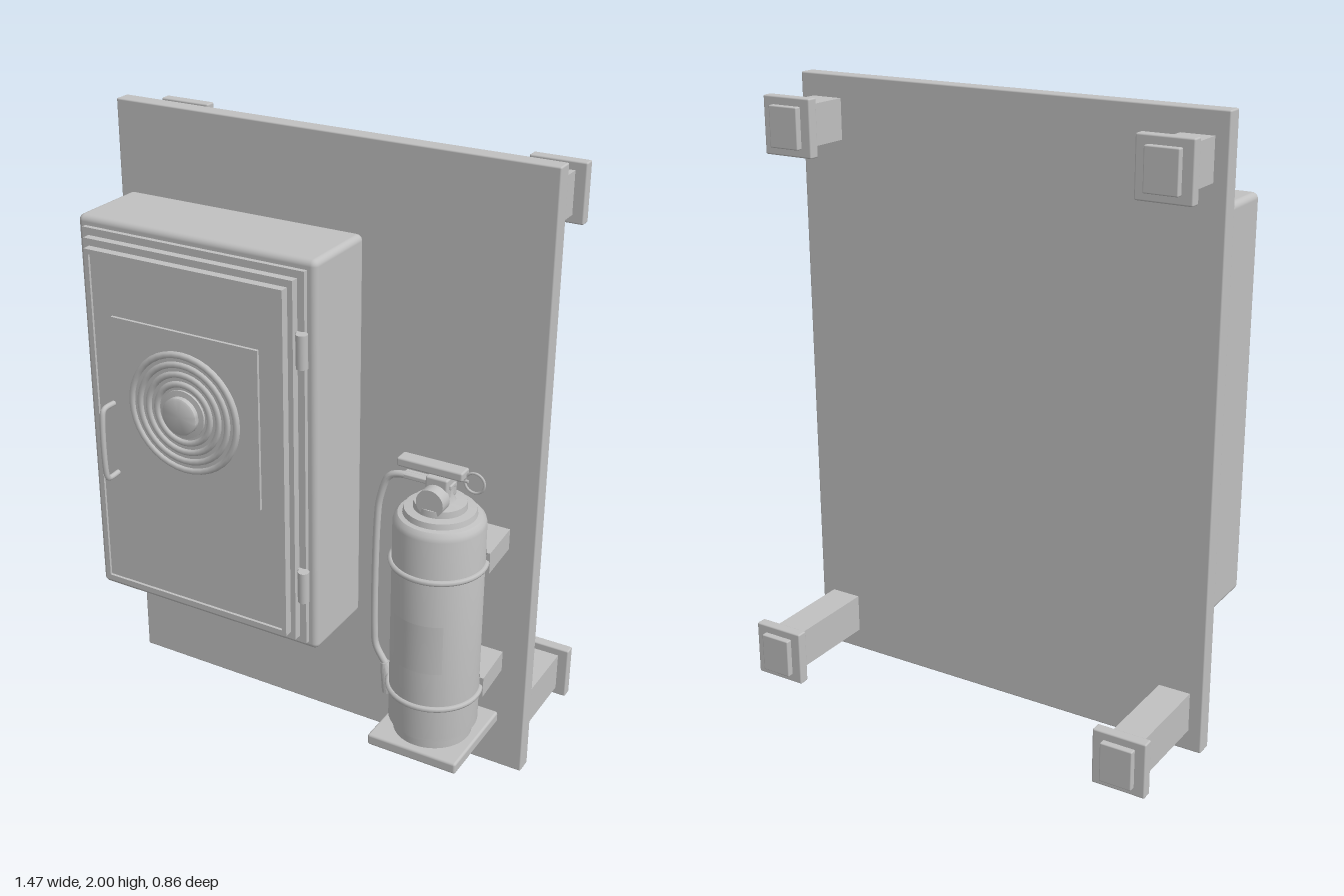
import * as THREE from 'three';
import { toCreasedNormals } from 'three/addons/utils/BufferGeometryUtils.js';
import { RoundedBoxGeometry } from 'three/addons/geometries/RoundedBoxGeometry.js';

export function createModel() {
  const model = new THREE.Group();
  const grey = new THREE.MeshStandardMaterial({ color: 0xc0c0c0 });
  grey.name = 'light grey';

  const add = (name, geo, x = 0, y = 0, z = 0, parent = model) => {
    const m = new THREE.Mesh(geo, grey);
    m.name = name;
    m.position.set(x, y, z);
    parent.add(m);
    return m;
  };
  // Box given by its limits on each axis, optionally with rounded edges
  const box = (name, x0, x1, y0, y1, z0, z1, r = 0, parent = model) => {
    const s = [x1 - x0, y1 - y0, z1 - z0];
    const geo = r ? new RoundedBoxGeometry(...s, 3, r) : new THREE.BoxGeometry(...s);
    return add(name, geo, (x0 + x1) / 2, (y0 + y1) / 2, (z0 + z1) / 2, parent);
  };
  const lathe = (pts, n = 40) =>
    toCreasedNormals(new THREE.LatheGeometry(pts.map(p => new THREE.Vector2(...p)), n), 0.6);
  const tube = (pts, r, n = 48) => new THREE.TubeGeometry(
    new THREE.CatmullRomCurve3(pts.map(p => new THREE.Vector3(...p)), false, 'centripetal'), n, r, 10);
  // Picture-frame border around a rectangle
  const frame = (name, x0, x1, y0, y1, z0, depth, w, parent) => {
    const s = new THREE.Shape([[x0, y0], [x1, y0], [x1, y1], [x0, y1]].map(p => new THREE.Vector2(...p)));
    s.holes.push(new THREE.Path([[x0 + w, y0 + w], [x0 + w, y1 - w], [x1 - w, y1 - w], [x1 - w, y0 + w]]
      .map(p => new THREE.Vector2(...p))));
    add(name, new THREE.ExtrudeGeometry(s, { depth, bevelEnabled: false }), 0, 0, z0, parent);
  };

  // Backing board
  box('backBoard', -0.735, 0.733, 0, 2, -0.033, 0.022, 0.005);

  // Four stand-off legs with flange and end pad
  for (const x of [-0.638, 0.634]) {
    for (const [y, end] of [[1.863, -0.2], [0.136, -0.37]]) {
      const leg = new THREE.Group();
      leg.name = 'standOffLeg';
      model.add(leg);
      box('legStem', x - 0.053, x + 0.053, y - 0.065, y + 0.065, end, -0.03, 0, leg);
      box('legFlange', x - 0.088, x + 0.088, y - 0.091, y + 0.091, end - 0.036, end, 0.005, leg);
      box('legPad', x - 0.053, x + 0.053, y - 0.065, y + 0.065, end - 0.056, end - 0.03, 0.004, leg);
    }
  }

  // Cabinet with stepped door
  const cabinet = new THREE.Group();
  cabinet.name = 'cabinet';
  model.add(cabinet);
  box('cabinetBody', -0.695, 0.14, 0.425, 1.715, 0.022, 0.3, 0.02, cabinet);
  box('doorSeal', -0.665, 0.11, 0.453, 1.685, 0.29, 0.316, 0, cabinet);
  box('doorStep', -0.643, 0.087, 0.475, 1.662, 0.31, 0.342, 0, cabinet);
  box('doorPanel', -0.606, 0.053, 0.515, 1.625, 0.335, 0.362, 0, cabinet);
  frame('doorFrame', -0.622, 0.07, 0.498, 1.64, 0.335, 0.035, 0.016, cabinet);
  box('dialPlate', -0.535, -0.015, 0.92, 1.44, 0.36, 0.372, 0, cabinet);

  // Hinges
  for (const y of [0.673, 1.453]) {
    add('hinge', new THREE.CylinderGeometry(0.018, 0.018, 0.105, 16), 0.113, y, 0.335, cabinet);
    box('hingeLeaf', 0.07, 0.113, y - 0.05, y + 0.05, 0.316, 0.328, 0, cabinet);
  }

  // Door handle
  add('doorHandle', tube([[0, -0.12, -0.06], [0, -0.12, -0.01], [0, -0.112, 0],
    [0, 0.112, 0], [0, 0.12, -0.01], [0, 0.12, -0.06]], 0.009), -0.552, 1.025, 0.418, cabinet);

  // Round ribbed dial and its centre knob
  const dial = new THREE.Group();
  dial.name = 'ringDial';
  dial.position.set(-0.278, 1.18, 0.372);
  cabinet.add(dial);
  add('dialDisc', new THREE.CylinderGeometry(0.185, 0.19, 0.006, 40).rotateX(Math.PI / 2), 0, 0, 0.002, dial);
  for (const r of [0.189, 0.158, 0.127, 0.096]) {
    add('dialRing', new THREE.TorusGeometry(r, 0.011, 8, 40), 0, 0, 0.003, dial);
  }
  add('dialKnob', lathe([[0.078, 0], [0.078, 0.012], [0.06, 0.014], [0.06, 0.03], [0.054, 0.034], [0, 0.034]])
    .rotateX(Math.PI / 2), 0, 0, 0, dial);

  // Fire extinguisher
  const ext = new THREE.Group();
  ext.name = 'extinguisher';
  ext.position.set(0.515, 0, 0.233);
  model.add(ext);
  box('baseShelf', -0.15, 0.15, 0.205, 0.243, -0.163, 0.147, 0.008, ext);
  add('tank', lathe([[0, 0.24], [0.122, 0.24], [0.122, 0.272], [0.13, 0.274], [0.13, 0.284], [0.138, 0.287],
    [0.138, 0.97], [0.134, 0.984], [0.124, 0.995], [0.11, 0.998], [0.106, 1.015], [0.08, 1.018],
    [0.078, 1.038], [0.045, 1.042], [0.036, 1.06], [0.036, 1.09], [0, 1.09]], 48), 0, 0, 0, ext);
  add('tankLabel', new THREE.CylinderGeometry(0.142, 0.142, 0.165, 16, 1, true, -0.6, 1.2), 0, 0.608, 0, ext);

  // Straps and wall brackets
  for (const y of [0.4, 0.84]) {
    add('strap', new THREE.TorusGeometry(0.141, 0.009, 8, 48).rotateX(Math.PI / 2), 0, y, 0, ext);
    // Bracket hollowed around the tank
    const s = new THREE.Shape();
    s.moveTo(-0.133, 0.212);
    s.lineTo(0.133, 0.212);
    s.lineTo(0.142, 0.05);
    s.lineTo(0.13, 0.05);
    s.absarc(0, 0, 0.139, 0.367, Math.PI - 0.367, false);
    s.lineTo(-0.142, 0.05);
    const geo = new THREE.ExtrudeGeometry(s, { depth: 0.068, bevelEnabled: false, curveSegments: 20 });
    add('wallBracket', geo.rotateX(-Math.PI / 2), 0, y - 0.035, 0, ext);
  }

  // Valve head, pressure gauge, levers and pull pin
  box('valveHead', -0.035, 0.035, 1.05, 1.122, -0.035, 0.035, 0.006, ext);
  add('pressureGauge', new THREE.CylinderGeometry(0.043, 0.043, 0.045, 24).rotateX(Math.PI / 2), 0, 1.058, 0.052, ext);
  box('upperLever', -0.135, 0.075, 1.122, 1.15, -0.026, 0.022, 0.006, ext);
  box('lowerLever', -0.12, 0.04, 1.085, 1.1, -0.018, 0.018, 0.004, ext);
  add('pullPin', new THREE.CylinderGeometry(0.005, 0.005, 0.09, 8).rotateZ(Math.PI / 2), 0.035, 1.113, -0.01, ext);
  add('pinRing', new THREE.TorusGeometry(0.031, 0.004, 8, 28), 0.1, 1.113, -0.01, ext);

  // Hose and nozzle
  add('hose', tube([[-0.03, 1.09, 0], [-0.14, 1.09, 0.01], [-0.165, 1.075, 0.012], [-0.19, 1.0, 0.015],
    [-0.196, 0.93, 0.018], [-0.196, 0.55, 0.025], [-0.19, 0.49, 0.025], [-0.155, 0.43, 0.025]], 0.011, 64), 0, 0, 0, ext);
  const nozzle = add('nozzle', lathe([[0, 0.05], [0.014, 0.05], [0.018, 0.03], [0.026, -0.05], [0.018, -0.05], [0, -0.04]].reverse(), 20),
    -0.147, 0.388, 0.025, ext);
  nozzle.rotation.z = 0.2;

  return model;
}
